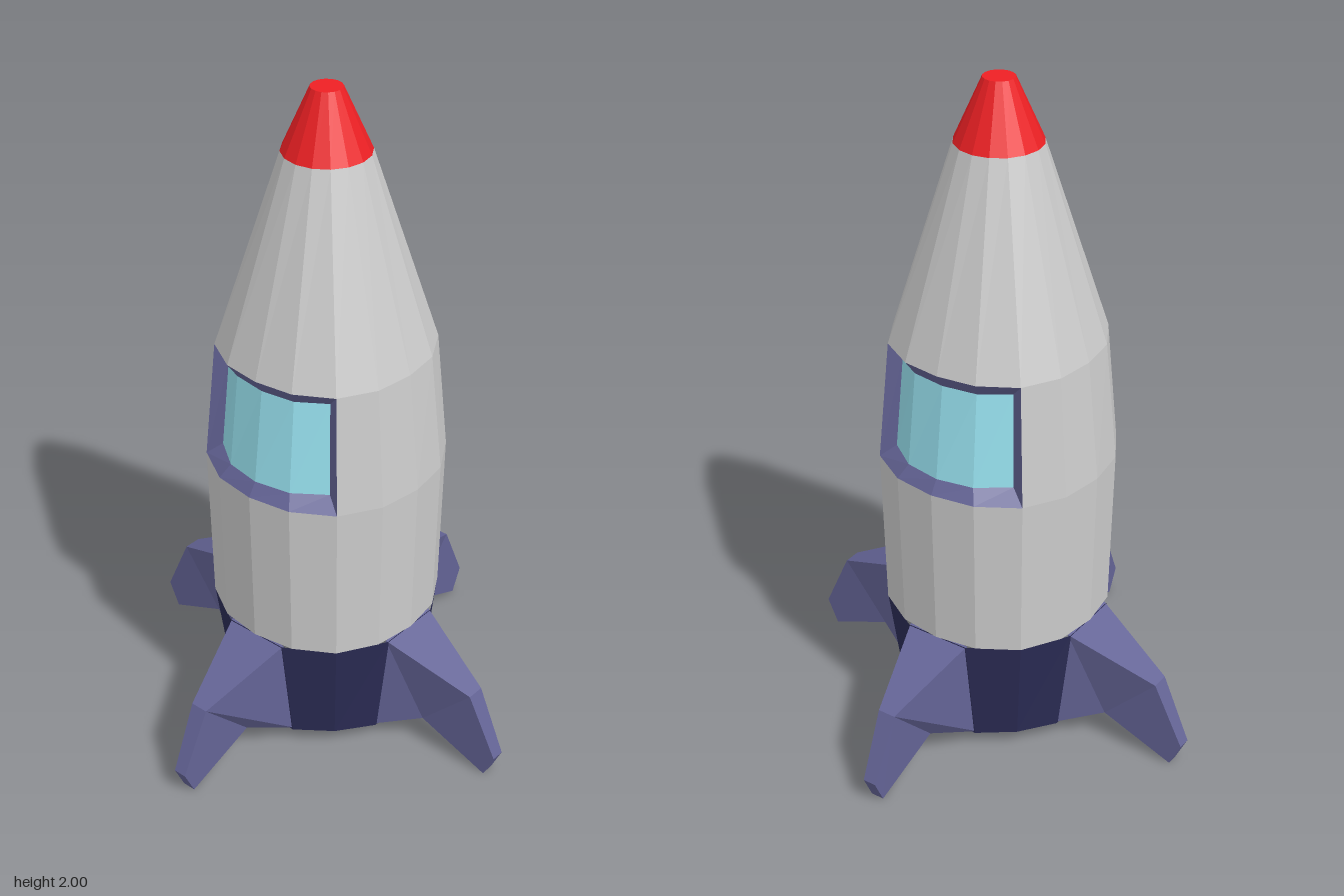
import * as THREE from 'three';

const GREY = 0xcccccc, BLUE = 0x646496, NAVY = 0x2b2c55, GLASS = 0x98e2f0, RED = 0xee2024, ORANGE = 0xe07a2a;
const SIDES = 16;

// Flat-shaded mesh from a list of faces (3 or 4 corners, counter-clockwise from outside)
function facetMesh(name, color, faces) {
  const pos = [];
  for (const f of faces) {
    for (let i = 1; i < f.length - 1; i++) pos.push(...f[0], ...f[i], ...f[i + 1]);
  }
  const geo = new THREE.BufferGeometry();
  geo.setAttribute('position', new THREE.Float32BufferAttribute(pos, 3));
  geo.computeVertexNormals();
  const mesh = new THREE.Mesh(geo, new THREE.MeshStandardMaterial({ color, flatShading: true }));
  mesh.name = name;
  return mesh;
}

// Ring of points; the diagonal corners are pushed out a little by the factor k
function ring(y, r, k = 1) {
  return Array.from({ length: SIDES }, (_, i) => {
    const a = (i / SIDES) * Math.PI * 2;
    const q = r * (1 + (k - 1) * Math.pow(Math.sin(2 * a), 2));
    return [Math.sin(a) * q, y, Math.cos(a) * q];
  });
}

// Faces between two closed loops of equal length
function band(lo, hi, skip = () => false) {
  const n = lo.length, faces = [];
  for (let i = 0; i < n; i++) {
    const j = (i + 1) % n;
    if (!skip(i)) faces.push([lo[i], lo[j], hi[j], hi[i]]);
  }
  return faces;
}

// Open strip between two rows of points
function strip(lo, hi) {
  return lo.slice(1).map((p, i) => [lo[i], p, hi[i + 1], hi[i]]);
}

// Twelve-sided loop: a flat for each fin and a corner on each diagonal
function baseLoop(y, half, r, corner) {
  const pts = [];
  for (let k = 0; k < 4; k++) {
    const c = Math.round(Math.cos(k * Math.PI / 2)), s = Math.round(Math.sin(k * Math.PI / 2));
    for (const [x, z] of [[-half, r], [half, r], [corner, corner]]) {
      pts.push([x * c + z * s, y, z * c - x * s]);
    }
  }
  return pts;
}

function createWindow(lowRing, highRing) {
  const g = new THREE.Group();
  const pick = (r) => [-2, -1, 0, 1, 2].map((i) => r[(i + SIDES) % SIDES]);
  const row = (y, x2, z2, x1, z1, z0) =>
    [[-x2, y, z2], [-x1, y, z1], [0, y, z0], [x1, y, z1], [x2, y, z2]];
  const o0 = pick(lowRing), o1 = pick(highRing);
  const i0 = row(0.92, 0.2, 0.222, 0.11, 0.287, 0.307);
  const i1 = row(1.2, 0.185, 0.203, 0.103, 0.258, 0.273);
  g.add(facetMesh('windowFrame', BLUE, [
    ...strip(o0, i0), ...strip(i1, o1),
    [o0[0], i0[0], i1[0], o1[0]],
    [i0[4], o0[4], o1[4], i1[4]],
  ]));
  g.add(facetMesh('windowGlass', GLASS, strip(i0, i1)));
  return g;
}

function createFin() {
  // Outline: distance outward, height, half thickness
  const outline = [
    [0.31, 0.39, 0.1], [0.565, 0.27, 0.027], [0.655, 0.08, 0.02],
    [0.62, 0.005, 0.02], [0.4, 0.1, 0.03], [0.27, 0.055, 0.105],
  ];
  const L = outline.map(([z, y, h]) => [h, y, z]);
  const R = outline.map(([z, y, h]) => [-h, y, z]);
  const faces = [];
  for (const q of [[1, 4, 5, 0], [1, 2, 3, 4]]) {
    faces.push(q.map((i) => L[i]), q.map((i) => R[i]).reverse());
  }
  for (let i = 0; i < 5; i++) faces.push([L[i], R[i], R[i + 1], L[i + 1]]);
  return facetMesh('fin', BLUE, faces);
}

export function createModel() {
  const model = new THREE.Group();
  model.name = 'rocket';

  // Hull with two window openings, front and back
  const r0 = ring(0.39, 0.323, 1.04), r1 = ring(0.88, 0.333, 1.04);
  const r2 = ring(1.24, 0.297, 1.055), r3 = ring(1.82, 0.125), r4 = ring(2, 0.045);
  const isWindow = (i) => (i + 2) % 8 < 4;
  model.add(facetMesh('hull', GREY, [
    ...band(r0, r1), ...band(r1, r2, isWindow), ...band(r2, r3), [...r0].reverse(),
  ]));

  // Nose cap with a small flat tip
  model.add(facetMesh('noseCap', RED, [...band(r3, r4), r4]));

  // Windows
  ['frontWindow', 'backWindow'].forEach((name, i) => {
    const w = createWindow(r1, r2);
    w.name = name;
    w.rotation.y = i * Math.PI;
    model.add(w);
  });

  // Engine base, its underside leaving a square opening
  const b1 = baseLoop(0.39, 0.1, 0.318, 0.237), b0 = baseLoop(0.055, 0.105, 0.28, 0.205);
  const mouth = baseLoop(0.055, 0.06, 0.12, 0.12), floor = baseLoop(0.08, 0.045, 0.09, 0.09);
  model.add(facetMesh('engineBase', NAVY, [...band(b0, b1), ...band(mouth, b0)]));
  model.add(facetMesh('nozzleWall', BLUE, band(floor, mouth)));
  model.add(facetMesh('nozzleGlow', ORANGE, [[...floor].reverse()]));

  // Four fins
  for (let k = 0; k < 4; k++) {
    const fin = createFin();
    fin.rotation.y = k * Math.PI / 2;
    model.add(fin);
  }
  return model;
}
